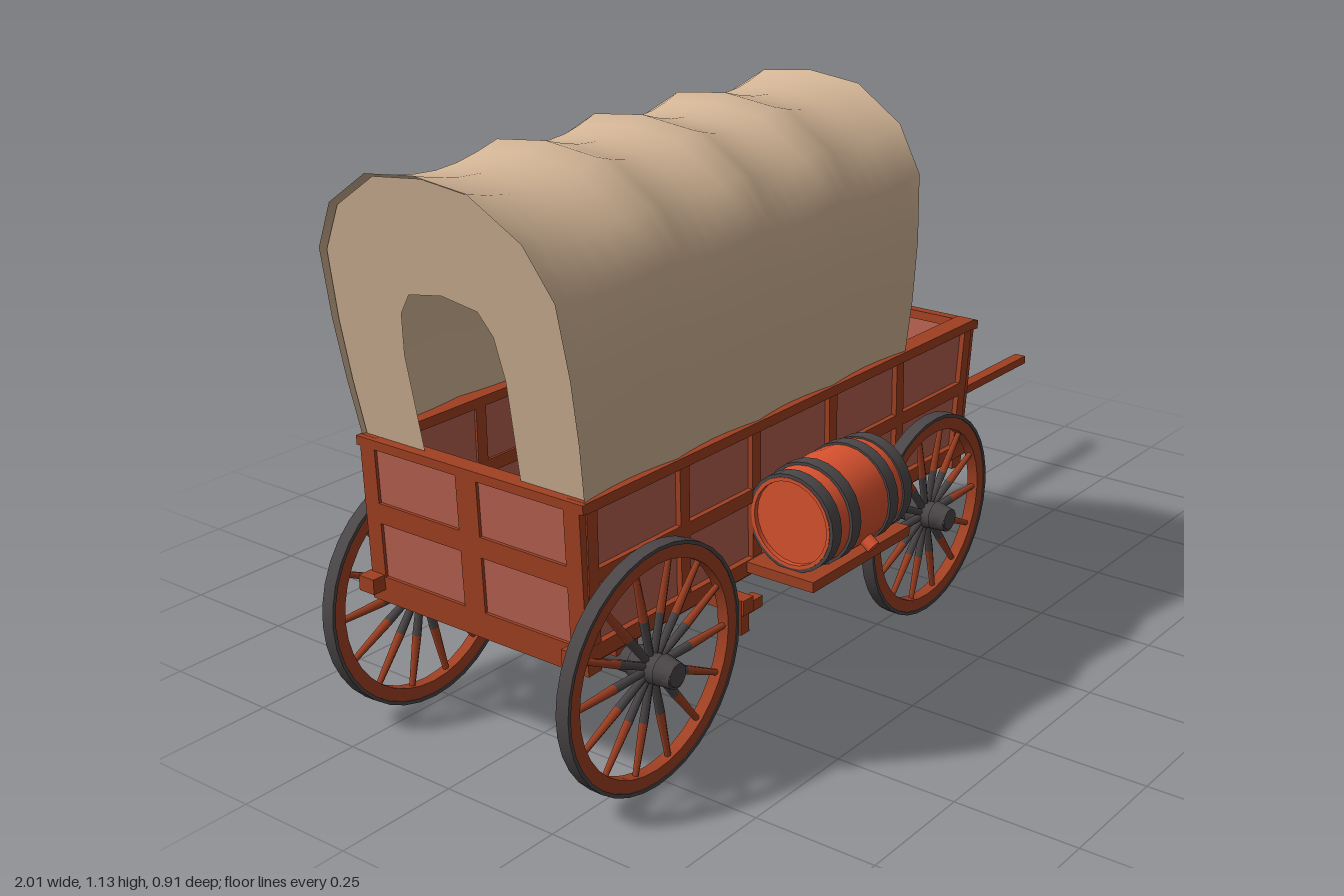
import * as THREE from 'three';
import { toCreasedNormals } from 'three/addons/utils/BufferGeometryUtils.js';

const mat = (name, color, side = THREE.FrontSide) => {
  const m = new THREE.MeshStandardMaterial({ color, side });
  m.name = name;
  return m;
};

export function createModel() {
  const root = new THREE.Group();
  root.name = 'coveredWagon';
  const trim = mat('darkWood', 0xa04022);
  const board = mat('redBoards', 0xb5604f);
  const orange = mat('barrelWood', 0xd9522f);
  const iron = mat('iron', 0x4b4647);
  const canvas = mat('canvas', 0xd3b596, THREE.DoubleSide);

  const add = (name, geo, material, x = 0, y = 0, z = 0, parent = root) => {
    const m = new THREE.Mesh(geo, material);
    m.name = name;
    m.position.set(x, y, z);
    parent.add(m);
    return m;
  };
  // box given by its limits
  const box = (name, material, x0, x1, y0, y1, z0, z1, parent = root) =>
    add(name, new THREE.BoxGeometry(x1 - x0, y1 - y0, z1 - z0), material,
      (x0 + x1) / 2, (y0 + y1) / 2, (z0 + z1) / 2, parent);
  const group = (name, x = 0, y = 0, z = 0, parent = root) => {
    const g = new THREE.Group();
    g.name = name;
    g.position.set(x, y, z);
    parent.add(g);
    return g;
  };
  // square-edged ring around the y axis
  const ring = (rIn, rOut, half, seg = 36) => toCreasedNormals(new THREE.LatheGeometry(
    [[rIn, -half], [rOut, -half], [rOut, half], [rIn, half], [rIn, -half]]
      .map(p => new THREE.Vector2(...p)), seg), 0.6);

  // ---- wagon bed ----
  box('floor', trim, -0.9, 0.28, 0.28, 0.31, -0.25, 0.25);
  const sideShape = new THREE.Shape([[-0.9, 0.3], [0.275, 0.3], [0.315, 0.58], [-0.905, 0.58]]
    .map(p => new THREE.Vector2(...p)));
  const sideGeo = new THREE.ExtrudeGeometry(sideShape, { depth: 0.02, bevelEnabled: false });
  for (const s of [1, -1]) {
    const name = s > 0 ? 'front' : 'back';
    add(name + 'SideBoards', sideGeo, board, 0, 0, s > 0 ? 0.235 : -0.255);
    const strip = (part, x0, x1, y0, y1, zOut = 0.266) =>
      box(name + part, trim, x0, x1, y0, y1, s > 0 ? 0.23 : -zOut, s > 0 ? zOut : -0.23);
    strip('TopRail', -0.91, 0.32, 0.573, 0.593, 0.272);
    strip('MiddleRail', -0.9, 0.295, 0.435, 0.462);
    strip('Sill', -0.94, 0.32, 0.295, 0.325, 0.268);
    for (const x of [-0.89, -0.645, -0.435, -0.19, 0.045]) strip('Post', x - 0.013, x + 0.013, 0.3, 0.58);
    const post = strip('SlantedPost', -0.013, 0.013, 0.3, 0.58);
    post.position.x = 0.285;
    post.rotation.z = -0.14;
  }

  // ---- end walls, leaning outward ----
  for (const [name, x, s, lean] of [['leadEnd', 0.275, 1, 0.14], ['tailgate', -0.895, -1, 0.03]]) {
    const g = group(name, x, 0.3, 0);
    g.rotation.z = -s * lean;
    box(name + 'Boards', board, -0.01, 0.01, 0, 0.285, -0.25, 0.25, g);
    const bar = (y0, y1, z0, z1) => box(name + 'Frame', trim, -0.016, 0.018, y0, y1, z0, z1, g);
    bar(0.275, 0.293, -0.272, 0.272);
    bar(0.13, 0.17, -0.25, 0.25);
    bar(-0.03, 0.022, -0.265, 0.265);
    bar(0, 0.28, -0.025, 0.025);
    for (const z of [-0.245, 0.245]) bar(0, 0.28, z - 0.018, z + 0.018);
  }

  // ---- driver's seat ----
  box('seatBoard', trim, 0.04, 0.21, 0.5, 0.52, -0.235, 0.235);
  box('seatBox', trim, 0.06, 0.18, 0.31, 0.5, -0.235, 0.235);
  const back = new THREE.Shape();
  back.moveTo(-0.228, 0.5);
  back.lineTo(0.228, 0.5);
  back.lineTo(0.228, 0.667);
  back.quadraticCurveTo(0, 0.717, -0.228, 0.667);
  const backGeo = new THREE.ExtrudeGeometry(back, { depth: 0.018, bevelEnabled: false });
  add('seatBack', backGeo, trim, 0.05).rotation.y = Math.PI / 2;

  // ---- canvas cover: arch sections swept along the hoops, sagging between ----
  const half = [[0.266, 0.585], [0.276, 0.7], [0.28, 0.82], [0.274, 0.955], [0.222, 1.047], [0.117, 1.115]];
  const arch = [...half, [0, 1.128], ...half.map(([z, y]) => [-z, y]).reverse()];
  const topX = [-1, -0.685, -0.425, -0.18, 0.1], lowX = [-0.908, -0.665, -0.43, -0.195, 0.06];
  const steps = 6, pos = [], idx = [];
  const rows = 4 * steps + 1, n = arch.length;
  for (let i = 0; i < rows; i++) {
    const bay = Math.min(3, Math.floor(i / steps)), t = i / steps - bay;
    const sag = Math.sin(Math.PI * t);
    for (const [z, y] of arch) {
      const h = (y - 0.585) / 0.543;
      const xt = THREE.MathUtils.lerp(topX[bay], topX[bay + 1], t);
      const xl = THREE.MathUtils.lerp(lowX[bay], lowX[bay + 1], t);
      pos.push(xl + (xt - xl) * h, y - 0.026 * sag * h, z * (1 - 0.04 * sag));
    }
  }
  for (let i = 0; i < rows - 1; i++) for (let j = 0; j < n - 1; j++) {
    const a = i * n + j, b = a + n;
    idx.push(a, b, a + 1, b, b + 1, a + 1);
  }
  const cover = new THREE.BufferGeometry();
  cover.setAttribute('position', new THREE.Float32BufferAttribute(pos, 3));
  cover.setIndex(idx);
  cover.computeVertexNormals();
  add('canvasCover', cover, canvas);

  // end curtains with arched openings
  const curtain = (name, hole, xLow, xTop) => {
    const inner = [...hole.map(([z, y]) => [-z, y]), [0, 0.913], ...[...hole].reverse()];
    const outer = arch.map(([z, y]) => [z * 0.985, 0.585 + (y - 0.585) * 0.985]);
    const g = new THREE.ShapeGeometry(new THREE.Shape([...outer, ...inner].map(p => new THREE.Vector2(...p))));
    const p = g.attributes.position;
    for (let i = 0; i < p.count; i++) {
      const z = p.getX(i), y = p.getY(i);
      p.setXYZ(i, xLow + (xTop - xLow) * (y - 0.585) / 0.543, y, z);
    }
    g.computeVertexNormals();
    add(name, g, canvas);
  };
  curtain('leadCurtain', [[0.19, 0.585], [0.192, 0.79], [0.178, 0.865], [0.145, 0.895], [0.08, 0.911]], 0.045, 0.085);
  curtain('rearCurtain', [[0.115, 0.585], [0.12, 0.78], [0.108, 0.86], [0.08, 0.9]], -0.9, -0.985);

  // ---- wheels and axles ----
  const wheel = (name, x, y, R, s) => {
    const g = group(name, x, y, s * 0.287);
    g.rotation.x = s * 0.028;
    add('felloe', ring(R - 0.032, R - 0.006, 0.012), trim, 0, 0, 0, g).rotation.x = Math.PI / 2;
    add('tire', ring(R - 0.007, R, 0.014), iron, 0, 0, 0, g).rotation.x = Math.PI / 2;
    const hub = add('hub', new THREE.CylinderGeometry(0.024, 0.032, 0.09, 16), iron, 0, 0, s * 0.012, g);
    hub.rotation.x = s * Math.PI / 2;
    const L = R - 0.03, cut = L * 0.5;
    for (let i = 0; i < 14; i++) {
      const spoke = group('spoke', 0, 0, 0, g);
      spoke.rotation.z = (i + 0.5) * Math.PI / 7;
      add('spokeRoot', new THREE.CylinderGeometry(0.009, 0.007, cut, 6), iron, 0, cut / 2, 0, spoke);
      add('spokeTip', new THREE.CylinderGeometry(0.006, 0.009, L - cut, 6), trim, 0, (L + cut) / 2, 0, spoke);
    }
  };
  for (const [name, x, y, R] of [['rear', -0.77, 0.238, 0.235], ['lead', 0.12, 0.222, 0.217]]) {
    for (const s of [1, -1]) {
      wheel(name + 'Wheel', x, y, R, s);
      const cap = add(name + 'AxleCap', new THREE.CylinderGeometry(0.022, 0.03, 0.035, 16), iron, x, y + 0.002, s * 0.329);
      cap.rotation.x = s * Math.PI / 2;
    }
    add(name + 'Axle', new THREE.CylinderGeometry(0.025, 0.025, 0.62, 16), iron, x, y, 0).rotation.x = Math.PI / 2;
    box(name + 'Bolster', trim, x - 0.03, x + 0.03, y + 0.015, 0.285, -0.23, 0.23);
  }
  box('reachPole', trim, -0.8, 0.3, 0.245, 0.27, -0.02, 0.02);

  // ---- brake beam ----
  box('brakeBeam', trim, -0.535, -0.505, 0.25, 0.28, -0.31, 0.31);
  for (const s of [1, -1]) {
    add('brakeShoe', new THREE.BoxGeometry(0.025, 0.07, 0.035), trim, -0.525, 0.245, s * 0.288);
    add('brakeArm', new THREE.BoxGeometry(0.06, 0.022, 0.025), trim, -0.495, 0.252, s * 0.288);
  }

  // ---- tongue and hitch ----
  box('tongue', trim, 0.3, 1, 0.251, 0.27, -0.014, 0.014);
  box('hitchBar', trim, 0.34, 0.365, 0.24, 0.278, -0.178, 0.178);
  box('hitchPlate', trim, 0.15, 0.34, 0.25, 0.266, -0.04, 0.04);
  for (const s of [1, -1]) {
    const hound = add('hound', new THREE.BoxGeometry(0.3, 0.018, 0.02), trim, 0.36, 0.262, s * 0.07);
    hound.rotation.y = s * 0.5;
  }

  // ---- barrels on side shelves ----
  const stave = [[0, -0.122], [0.082, -0.122], [0.082, -0.132], [0.089, -0.132], [0.095, -0.08], [0.099, 0],
    [0.095, 0.08], [0.089, 0.132], [0.082, 0.132], [0.082, 0.122], [0, 0.122]].map(p => new THREE.Vector2(...p));
  const staveGeo = toCreasedNormals(new THREE.LatheGeometry(stave, 24), 0.6);
  for (const s of [1, -1]) {
    box('barrelShelf', trim, -0.47, -0.15, 0.303, 0.324, s > 0 ? 0.24 : -0.42, s > 0 ? 0.42 : -0.24);
    for (const x of [-0.4, -0.22]) add('shelfBracket', new THREE.BoxGeometry(0.03, 0.03, 0.16), trim, x, 0.29, s * 0.3);
    const g = group('barrel', -0.317, 0.416, s * 0.352);
    g.rotation.z = Math.PI / 2;
    add('barrelBody', staveGeo, orange, 0, 0, 0, g);
    for (const y of [-0.117, -0.062, 0.062, 0.117]) {
      const r = Math.abs(y) > 0.1 ? 0.096 : 0.101;
      add('barrelHoop', ring(r - 0.012, r, 0.014, 24), iron, 0, y, 0, g);
    }
    const bung = add('barrelBung', new THREE.CylinderGeometry(0.014, 0.014, 0.03, 10), orange, -0.317, 0.355, s * 0.437);
    bung.rotation.x = s * 2.2;
  }
  return root;
}
